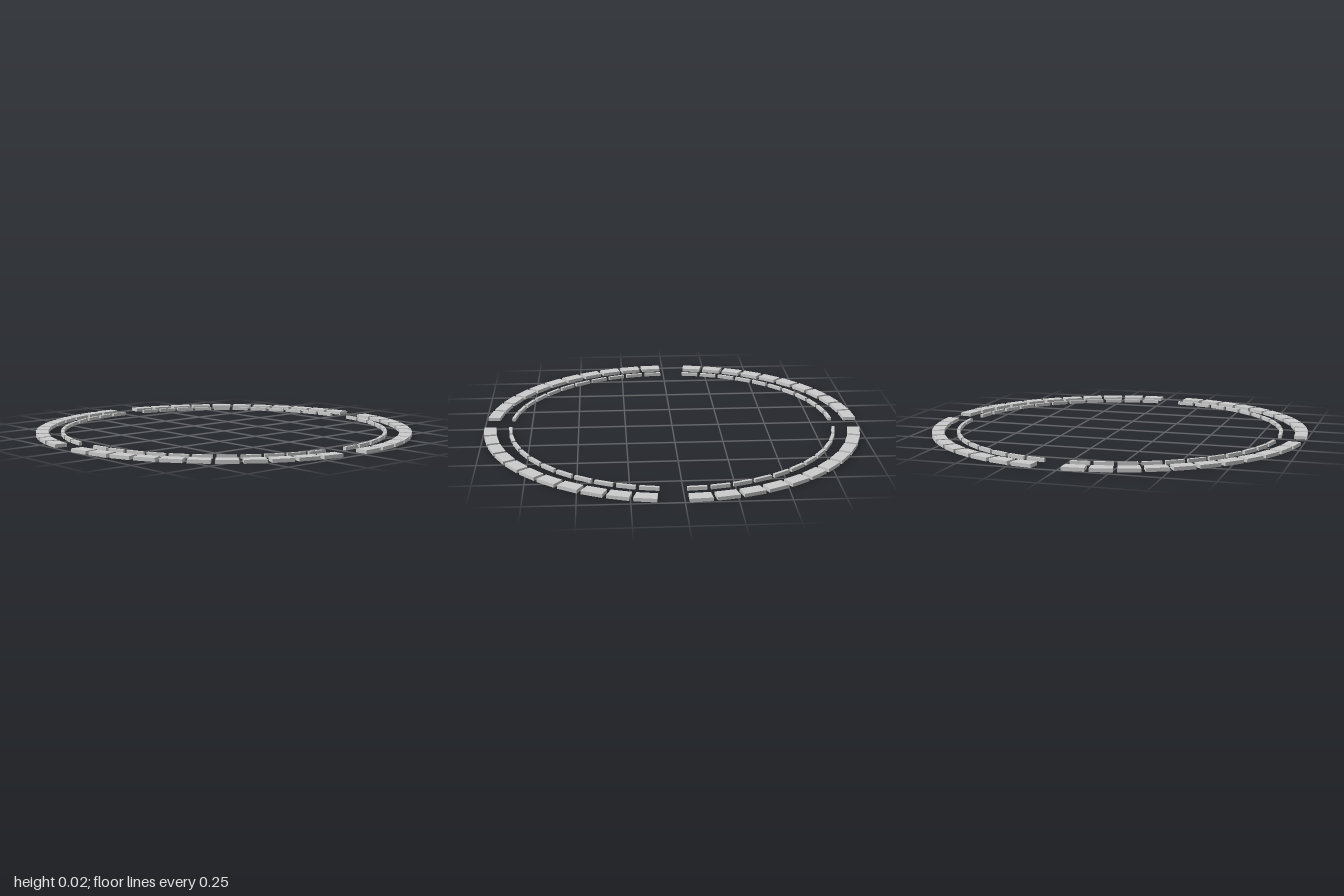
import * as THREE from 'three';

const HEIGHT = 0.018;
const PITCH = 7.5;       // degrees between neighbouring blocks
const FIRST = 4.4;       // angle of the first block in each quarter
const HALF = 3.17;       // half the angle one block covers
const PER_QUARTER = 11;  // the twelfth slot stays empty

// One flat-sided wedge block centred on the +x axis, lying on y = 0
function wedge(inner, outer) {
  const a = THREE.MathUtils.degToRad(HALF);
  const at = (r, s) => new THREE.Vector2(r * Math.cos(a), s * r * Math.sin(a));
  const shape = new THREE.Shape([at(inner, -1), at(outer, -1), at(outer, 1), at(inner, 1)]);
  const g = new THREE.ExtrudeGeometry(shape, { depth: HEIGHT, bevelEnabled: false });
  return g.rotateX(-Math.PI / 2);
}

// Four arcs of blocks with a gap at the end of each
function blockRing(name, inner, outer, material) {
  const ring = new THREE.Group();
  ring.name = name + 'Ring';
  const geometry = wedge(inner, outer);
  for (let q = 0; q < 4; q++) {
    const arc = new THREE.Group();
    arc.name = name + 'Arc' + (q + 1);
    arc.rotation.y = q * Math.PI / 2;
    for (let i = 0; i < PER_QUARTER; i++) {
      const block = new THREE.Mesh(geometry, material);
      block.name = name + 'Block';
      block.rotation.y = THREE.MathUtils.degToRad(FIRST + i * PITCH);
      arc.add(block);
    }
    ring.add(arc);
  }
  return ring;
}

export function createModel() {
  const model = new THREE.Group();
  model.name = 'segmentedRings';
  const grey = new THREE.MeshStandardMaterial({ color: 0xcccccc, flatShading: true });
  model.add(blockRing('outer', 0.935, 1.0, grey)); // wide blocks
  model.add(blockRing('inner', 0.852, 0.869, grey)); // thin bars
  return model;
}
